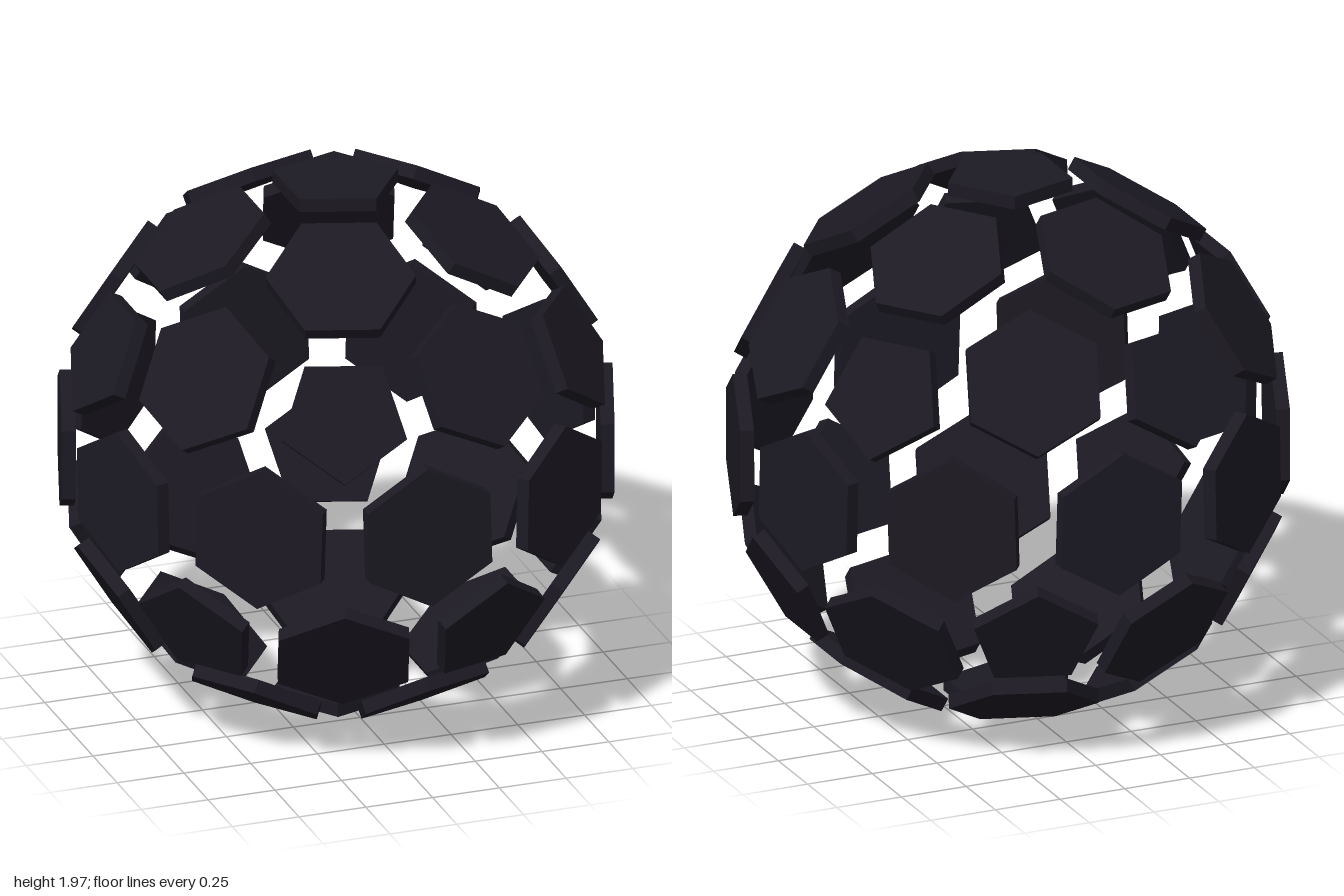
import * as THREE from 'three';

const THICK = 0.05, CENTER_Y = 0.986;

// Prism panel whose outer face lies at `dist` along `normal`,
// with the middle of one side pointing toward `toward`.
function panel(name, sides, radius, dist, normal, toward, material) {
  const geo = new THREE.CylinderGeometry(radius, radius, THICK, sides, 1, false, -Math.PI / sides);
  const z = toward.clone().addScaledVector(normal, -toward.dot(normal)).normalize();
  const x = new THREE.Vector3().crossVectors(normal, z);
  const mesh = new THREE.Mesh(geo, material);
  mesh.name = name;
  mesh.quaternion.setFromRotationMatrix(new THREE.Matrix4().makeBasis(x, normal, z));
  mesh.position.copy(normal).multiplyScalar(dist - THICK / 2);
  return mesh;
}

export function createModel() {
  const group = new THREE.Group();
  group.name = 'panelSphere';
  const material = new THREE.MeshStandardMaterial({ color: 0x1c1923, flatShading: true });

  // Pentagon directions: two poles and two staggered rings of five
  const dirs = [new THREE.Vector3(0, 1, 0), new THREE.Vector3(0, -1, 0)];
  for (let i = 0; i < 10; i++) {
    const a = i * Math.PI / 5;
    const y = (i % 2 ? 1 : -1) / Math.sqrt(5);
    const r = 2 / Math.sqrt(5);
    dirs.push(new THREE.Vector3(r * Math.cos(a), y, r * Math.sin(a)));
  }

  const panels = new THREE.Group();
  panels.name = 'panels';
  panels.position.y = CENTER_Y;
  group.add(panels);

  dirs.forEach((a, i) => {
    const neighbours = dirs.filter((b) => Math.abs(a.dot(b) - 1 / Math.sqrt(5)) < 0.01);
    panels.add(panel('pentagonPanel', 5, 0.232, 0.986, a, neighbours[0], material));

    // One hexagon midway between each pair of neighbouring pentagons
    for (const b of neighbours) {
      if (dirs.indexOf(b) < i) continue;
      const mid = a.clone().add(b).normalize();
      panels.add(panel('hexagonPanel', 6, 0.265, 0.974, mid, b, material));
    }
  });
  return group;
}
